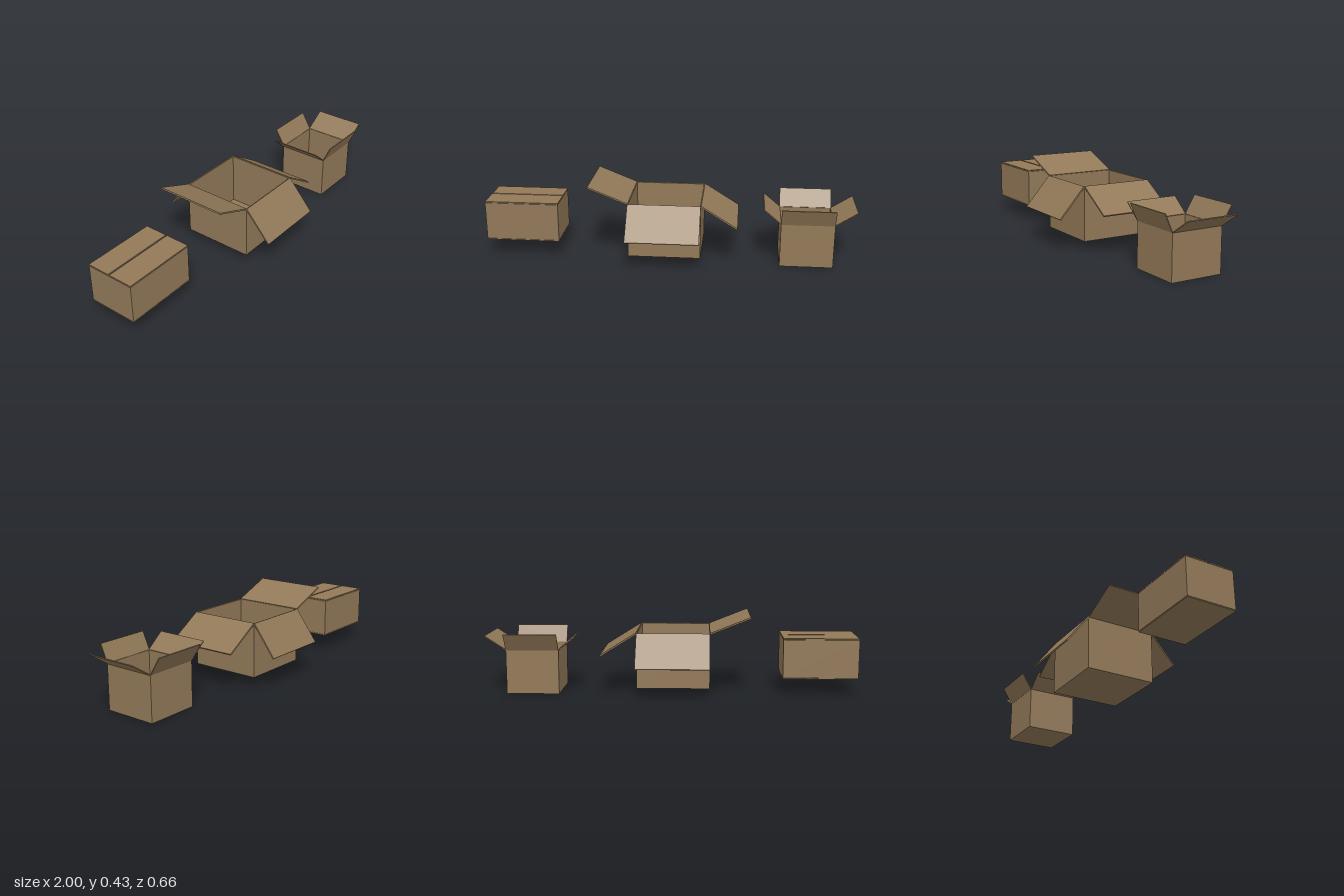
import * as THREE from 'three';

const cardboard = new THREE.MeshStandardMaterial({ color: 0x927958 });
cardboard.name = 'cardboard';

// Axis-aligned slab given by its limits
function slab(parent, name, x0, x1, y0, y1, z0, z1) {
  const mesh = new THREE.Mesh(new THREE.BoxGeometry(x1 - x0, y1 - y0, z1 - z0), cardboard);
  mesh.position.set((x0 + x1) / 2, (y0 + y1) / 2, (z0 + z1) / 2);
  mesh.name = name;
  parent.add(mesh);
}

// Thin flap hinged at a top edge: 'out' and 'up' are the offsets of its free edge
function flap(parent, name, hinge, yaw, width, out, up, t) {
  const length = Math.hypot(out, up);
  const geometry = new THREE.BoxGeometry(length, t, width);
  geometry.translate(length / 2, 0, 0);
  geometry.rotateZ(Math.atan2(up, out));
  geometry.rotateY(yaw);
  const mesh = new THREE.Mesh(geometry, cardboard);
  mesh.position.set(...hinge);
  mesh.name = name;
  parent.add(mesh);
}

// Hollow carton with four open flaps, each given as [out, up]
function openCarton(name, [x0, x1], [y0, y1], [z0, z1], wall, t, flaps) {
  const box = new THREE.Group();
  box.name = name;
  slab(box, 'floor', x0, x1, y0, y0 + wall, z0, z1);
  slab(box, 'rightWall', x0, x0 + wall, y0 + wall, y1, z0, z1);
  slab(box, 'leftWall', x1 - wall, x1, y0 + wall, y1, z0, z1);
  slab(box, 'frontWall', x0 + wall, x1 - wall, y0 + wall, y1, z1 - wall, z1);
  slab(box, 'backWall', x0 + wall, x1 - wall, y0 + wall, y1, z0, z0 + wall);

  const cx = (x0 + x1) / 2, cz = (z0 + z1) / 2;
  flap(box, 'leftFlap', [x1, y1, cz], 0, z1 - z0, ...flaps.left, t);
  flap(box, 'rightFlap', [x0, y1, cz], Math.PI, z1 - z0, ...flaps.right, t);
  flap(box, 'frontFlap', [cx, y1, z1], -Math.PI / 2, x1 - x0, ...flaps.front, t);
  flap(box, 'backFlap', [cx, y1, z0], Math.PI / 2, x1 - x0, ...flaps.back, t);
  return box;
}

// Sealed carton with two lid flaps meeting at a narrow seam
function closedCarton() {
  const box = new THREE.Group();
  box.name = 'closedCarton';
  slab(box, 'body', -1, -0.6, 0.098, 0.303, -0.145, 0.126);
  slab(box, 'backLidFlap', -1, -0.6, 0.305, 0.311, -0.145, -0.018);
  slab(box, 'frontLidFlap', -1, -0.6, 0.305, 0.311, -0.01, 0.126);
  slab(box, 'bottomPanel', -1, -0.6, 0.092, 0.096, -0.145, 0.126);
  return box;
}

export function createModel() {
  const model = new THREE.Group();
  model.name = 'cardboardBoxes';
  model.add(closedCarton());
  model.add(openCarton('largeOpenCarton', [-0.211, 0.177], [0.048, 0.341], [-0.204, 0.188], 0.004, 0.008, {
    left: [0.193, -0.121], right: [0.213, 0.085], front: [0.142, -0.161], back: [0.124, -0.167],
  }));
  model.add(openCarton('smallOpenCarton', [0.6, 0.884], [0, 0.239], [-0.147, 0.139], 0.003, 0.005, {
    left: [0.114, 0.074], right: [0.091, 0.076], front: [0.041, 0.091], back: [0.057, 0.092],
  }));
  return model;
}
